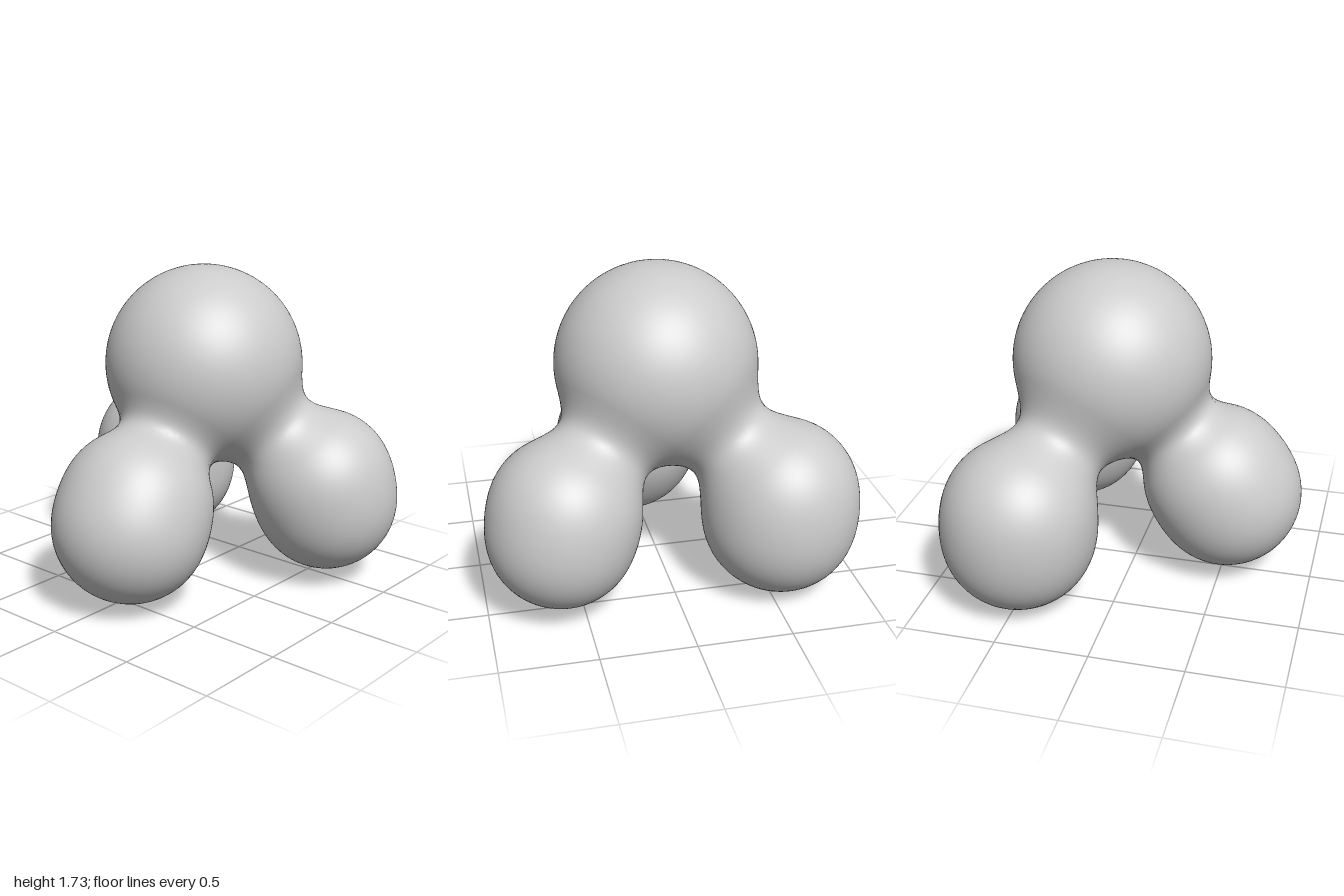
import * as THREE from 'three';

const V = (x, y, z) => new THREE.Vector3(x, y, z);

// A round head, and three plump feet stretched from a to b; melt is the width of the fillet
const HEAD = { center: V(0.135, 1.2, 0.025), r: 0.535 };
const FEET = [
  { a: V(-0.5, 0.46, 0.065), b: V(-0.45, 0.54, 0.055), ra: 0.42, rb: 0.412, melt: 0.18 }, // right
  { a: V(0.5, 0.46, 0.6), b: V(0.482, 0.55, 0.58), ra: 0.395, rb: 0.41, melt: 0.25 }, // front left
  { a: V(0.495, 0.425, -0.57), b: V(0.488, 0.53, -0.578), ra: 0.422, rb: 0.415, melt: 0.3 }, // back left
];

// Distance to a stretched foot, easing between its two ends
const axis = V(0, 0, 0), offset = V(0, 0, 0);
function footDistance(p, { a, b, ra, rb }) {
  axis.subVectors(b, a);
  const along = offset.subVectors(p, a).dot(axis) / axis.lengthSq();
  const t = 0.5 + 0.5 * Math.tanh((along - 0.5) / 2);
  return offset.addScaledVector(axis, -t).length() - (ra + (rb - ra) * t);
}

// Soft field: positive inside the merged blob, negative outside
function field(p) {
  let d = p.distanceTo(HEAD.center) - HEAD.r;
  for (const foot of FEET) {
    const f = footDistance(p, foot);
    const h = Math.max(foot.melt - Math.abs(d - f), 0);
    d = Math.min(d, f) - (h * h) / (4 * foot.melt);
  }
  return -d;
}

// Outward normal from the field's slope
function normalAt(p) {
  const e = 0.004;
  const slope = (key) => {
    const lo = p.clone(), hi = p.clone();
    lo[key] -= e;
    hi[key] += e;
    return field(lo) - field(hi);
  };
  return V(slope('x'), slope('y'), slope('z')).normalize();
}

// Surface net: one vertex per crossed grid cell, one quad per crossed grid edge
function blobGeometry(min, size, step) {
  const n = size.map((s) => Math.ceil(s / step) + 1);
  const stride = [1, n[0], n[0] * n[1]];
  const point = (i, j, k) => V(min[0] + i * step, min[1] + j * step, min[2] + k * step);
  const values = new Float32Array(n[0] * n[1] * n[2]).fill(-1);
  const each = (fn) => {
    for (let k = 0; k < n[2] - 1; k++)
      for (let j = 0; j < n[1] - 1; j++)
        for (let i = 0; i < n[0] - 1; i++) fn(i, j, k, i + j * stride[1] + k * stride[2]);
  };
  each((i, j, k, id) => { values[id] = field(point(i, j, k)); });

  const positions = [], normals = [], index = [];
  const cellVertex = new Map();
  each((i, j, k, id) => {
    const sum = V(0, 0, 0);
    let count = 0;
    for (let c = 0; c < 8; c++) {
      const o = [c & 1, (c >> 1) & 1, c >> 2];
      const from = id + o[0] + o[1] * stride[1] + o[2] * stride[2];
      for (let dir = 0; dir < 3; dir++) {
        if (o[dir]) continue;
        const v0 = values[from], v1 = values[from + stride[dir]];
        if (v0 > 0 === v1 > 0) continue;
        const at = [i + o[0], j + o[1], k + o[2]];
        at[dir] += v0 / (v0 - v1);
        sum.add(point(...at));
        count++;
      }
    }
    if (!count) return;
    sum.divideScalar(count);
    cellVertex.set(id, positions.length / 3);
    positions.push(...sum.toArray());
    normals.push(...normalAt(sum).toArray());
  });

  each((i, j, k, id) => {
    for (let dir = 0; dir < 3; dir++) {
      const inside = values[id] > 0;
      if (inside === values[id + stride[dir]] > 0) continue;
      const b = stride[(dir + 1) % 3], c = stride[(dir + 2) % 3];
      const quad = [id, id - b, id - b - c, id - c].map((cell) => cellVertex.get(cell));
      if (!inside) quad.reverse();
      index.push(quad[0], quad[1], quad[2], quad[0], quad[2], quad[3]);
    }
  });

  const geometry = new THREE.BufferGeometry();
  geometry.setAttribute('position', new THREE.Float32BufferAttribute(positions, 3));
  geometry.setAttribute('normal', new THREE.Float32BufferAttribute(normals, 3));
  geometry.setIndex(index);
  return geometry;
}

export function createModel() {
  const group = new THREE.Group();
  group.name = 'threeFootedBlob';
  // Head and feet melt into one continuous skin
  const skin = new THREE.Mesh(
    blobGeometry([-1.1, -0.1, -1.15], [2.2, 2, 2.3], 0.025),
    new THREE.MeshStandardMaterial({ color: 0xcccccc })
  );
  skin.name = 'headAndFeet';
  group.add(skin);
  return group;
}
